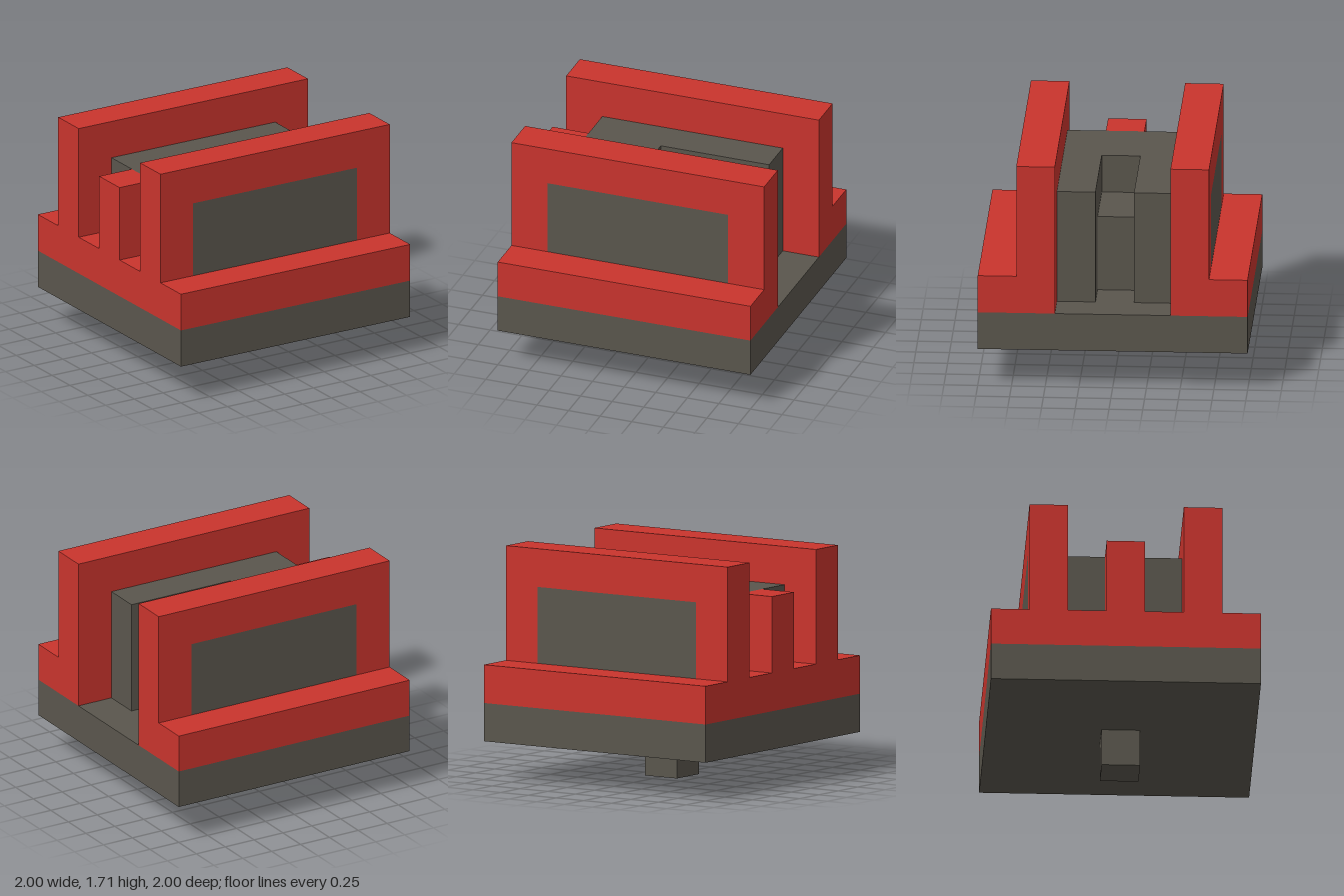
import * as THREE from 'three';

const U = 2 / 7; // one block of the 7 x 7 layout

export function createModel() {
  const model = new THREE.Group();
  const red = new THREE.MeshStandardMaterial({ color: 0xc9342d });
  const gray = new THREE.MeshStandardMaterial({ color: 0x5a564d });
  red.name = 'red';
  gray.name = 'warmGray';

  // Box spanning block indices [from, to) on each axis
  const block = (name, material, [x0, x1], [y0, y1], [z0, z1]) => {
    const mesh = new THREE.Mesh(
      new THREE.BoxGeometry((x1 - x0) * U, (y1 - y0) * U, (z1 - z0) * U), material);
    mesh.position.set(((x0 + x1) / 2 - 3.5) * U, ((y0 + y1) / 2) * U, ((z0 + z1) / 2 - 3.5) * U);
    mesh.name = name;
    model.add(mesh);
  };

  const rectangle = (Type, x0, x1, y0, y1) => new Type([
    new THREE.Vector2(x0 * U, y0 * U), new THREE.Vector2(x1 * U, y0 * U),
    new THREE.Vector2(x1 * U, y1 * U), new THREE.Vector2(x0 * U, y1 * U),
  ]);

  // Base and the peg beneath it
  block('peg', gray, [3, 4], [0, 1], [3, 4]);
  block('basePlate', gray, [0, 7], [1, 2], [0, 7]);

  // Both side walls: framed wall, flush panel and outer ledge
  const wallShape = rectangle(THREE.Shape, -3.5, 3.5, 2, 6);
  wallShape.holes.push(rectangle(THREE.Path, -2.5, 2.5, 3, 5));
  const wallGeometry = new THREE.ExtrudeGeometry(wallShape, { depth: U, bevelEnabled: false });
  for (const [side, wallZ, ledgeZ] of [['front', 5, 6], ['back', 1, 0]]) {
    const wall = new THREE.Mesh(wallGeometry, red);
    wall.position.z = (wallZ - 3.5) * U;
    wall.name = side + 'Wall';
    model.add(wall);
    block(side + 'Panel', gray, [1, 6], [3, 5], [wallZ, wallZ + 1]);
    block(side + 'Ledge', red, [0, 7], [2, 3], [ledgeZ, ledgeZ + 1]);
  }

  // Central U-shaped core with a stepped slot, open towards +x
  block('frontArm', gray, [1, 6], [2, 5], [4, 5]);
  block('backArm', gray, [1, 6], [2, 5], [2, 3]);
  block('coreBridge', gray, [1, 3], [2, 5], [3, 4]);
  block('slotStep', gray, [3, 5], [2, 4], [3, 4]);

  // Low end sill with its raised centre post
  block('endSill', red, [0, 1], [2, 3], [2, 5]);
  block('endPost', red, [0, 1], [3, 5], [3, 4]);

  return model;
}
